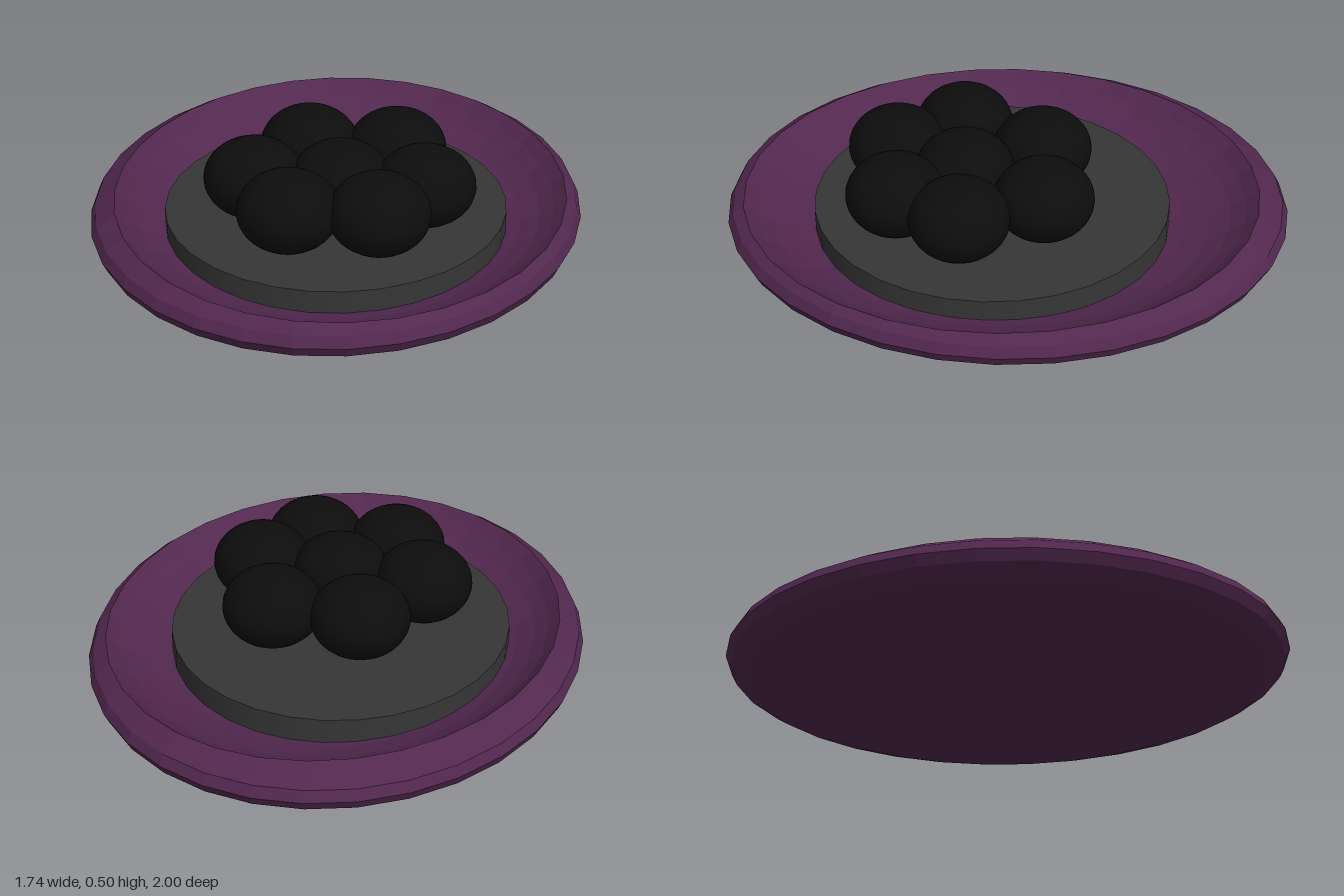
import * as THREE from 'three';

const HALF_X = 0.87, HALF_Y = 0.19, SEGMENTS = 32;

// Shallow oval dish: ellipsoid underside, slightly tilted lip, hollow inside
function dishGeometry() {
  const step = Math.PI / 16;
  const outer = [];
  for (let i = -8; i <= 1; i++) {
    const r = i === -8 ? 0 : Math.cos(i * step);
    outer.push(new THREE.Vector2(r, HALF_Y + HALF_Y * Math.sin(i * step)));
  }
  // Inner hollow: x = share of the lip radius, y = share of the depth
  const inner = [[1, 1], [0.95, 0.78], [0.89, 0.58], [0.81, 0.4], [0.71, 0.25], [0.55, 0.11], [0.35, 0.03], [0, 0]]
    .map(([s, h]) => new THREE.Vector2(s, h));
  const profile = [...outer, ...inner];
  const geometry = new THREE.LatheGeometry(profile, SEGMENTS);
  const pos = geometry.attributes.position;
  const floor = 0.09;
  for (let i = 0; i < pos.count; i++) {
    const j = i % profile.length;
    const phi = Math.floor(i / profile.length) / SEGMENTS * Math.PI * 2;
    const sx = Math.sin(phi), cz = Math.cos(phi);
    let r = profile[j].x, y = profile[j].y;
    if (j >= outer.length) {
      // The lip lies where a tilted plane meets the ellipsoid
      const lipY = 0.265 - 0.01 * sx - 0.01 * cz;
      r *= Math.sqrt(1 - ((lipY - HALF_Y) / HALF_Y) ** 2);
      y = floor + (lipY - floor) * y;
    }
    pos.setXYZ(i, r * sx * HALF_X, y, r * cz);
  }
  geometry.computeVertexNormals();
  return geometry;
}

export function createModel() {
  const group = new THREE.Group();
  const purple = new THREE.MeshStandardMaterial({ color: 0x52284f, flatShading: true });
  purple.name = 'plum purple';
  const grey = new THREE.MeshStandardMaterial({ color: 0x363636 });
  grey.name = 'dark grey';
  const black = new THREE.MeshStandardMaterial({ color: 0x0d0d0d });
  black.name = 'black';

  const add = (name, geometry, material, x = 0, y = 0, z = 0) => {
    const mesh = new THREE.Mesh(geometry, material);
    mesh.name = name;
    mesh.position.set(x, y, z);
    group.add(mesh);
    return mesh;
  };

  add('dish', dishGeometry(), purple);

  // Thick oval disc resting in the dish
  const disc = add('disc', new THREE.CylinderGeometry(1, 1, 0.12, SEGMENTS), grey, 0.005, 0.158, 0.055);
  disc.scale.set(0.605, 1, 0.635);

  // Cluster of flattened balls: six around one
  const ball = new THREE.SphereGeometry(1, 32, 20);
  const centres = [
    [0.035, 0.15], [-0.115, -0.12], [0.2, -0.135], [-0.267, 0.17],
    [0.33, 0.15], [-0.11, 0.4], [0.197, 0.378],
  ];
  centres.forEach(([x, z], i) => {
    add(`ball${i + 1}`, ball, black, x, 0.355, z).scale.set(0.177, 0.14, 0.176);
  });

  return group;
}
